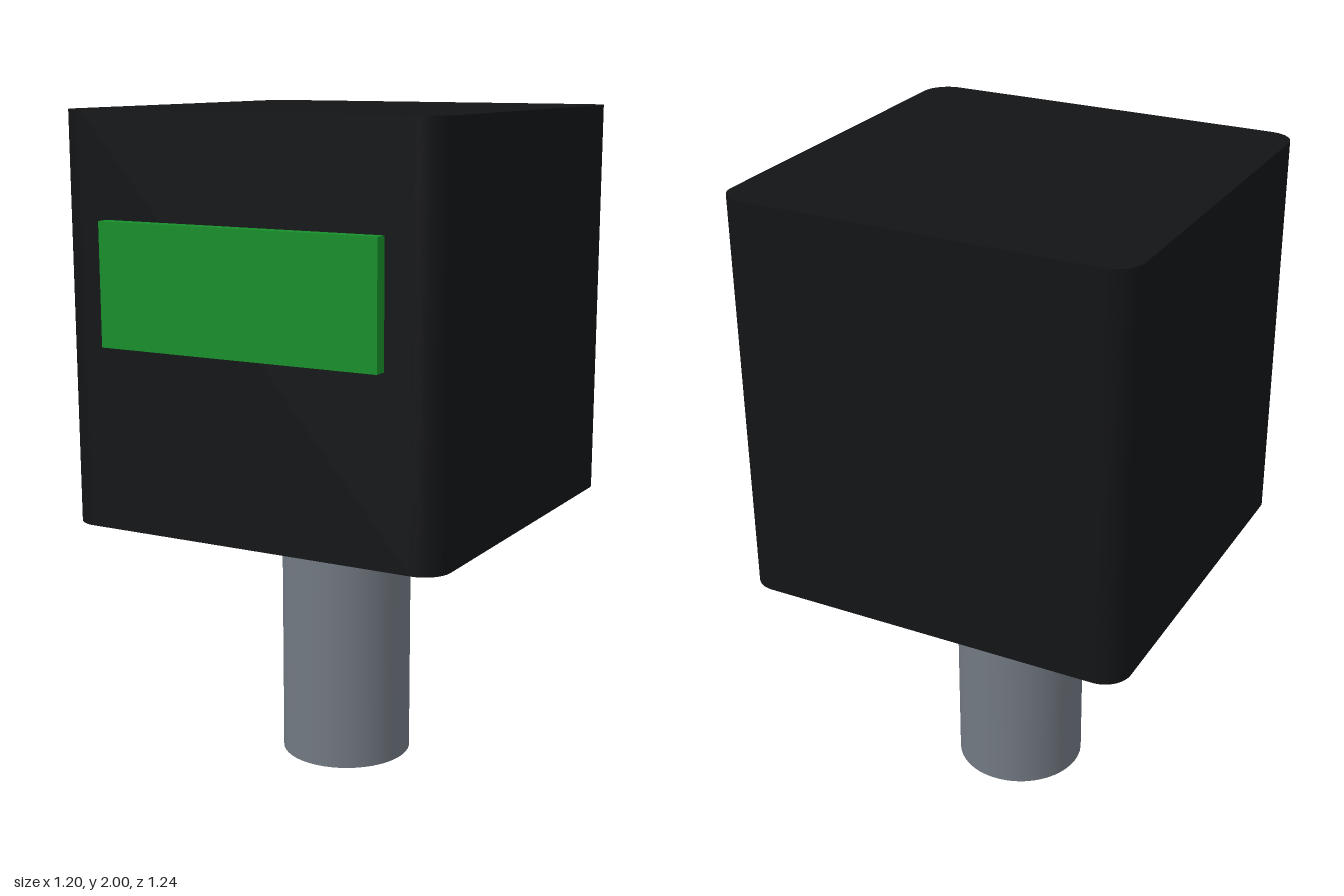
import * as THREE from 'three';

function part(name, geometry, color, x, y, z) {
  const mesh = new THREE.Mesh(geometry, new THREE.MeshStandardMaterial({ color }));
  mesh.name = name;
  mesh.position.set(x, y, z);
  return mesh;
}

// Square outline with rounded corners, centred on the origin
function roundedSquare(half, r) {
  const s = new THREE.Shape();
  const c = half - r;
  s.absarc(c, c, r, 0, Math.PI / 2);
  s.absarc(-c, c, r, Math.PI / 2, Math.PI);
  s.absarc(-c, -c, r, Math.PI, Math.PI * 1.5);
  s.absarc(c, -c, r, Math.PI * 1.5, Math.PI * 2);
  s.closePath();
  return s;
}

export function createModel() {
  const model = new THREE.Group();
  model.name = 'postMountedBox';
  const axisZ = -0.02;

  // Housing: rounded vertical edges, sharp top and bottom rims
  const housing = new THREE.ExtrudeGeometry(roundedSquare(0.6, 0.08), {
    depth: 1.2, bevelEnabled: false, curveSegments: 12,
  });
  housing.rotateX(-Math.PI / 2);

  // Smooth normals around the corners, flat on the sides and caps
  const pos = housing.attributes.position;
  const nor = housing.attributes.normal;
  const core = 0.52;
  for (let i = 0; i < pos.count; i++) {
    if (Math.abs(nor.getY(i)) > 0.5) continue;
    const x = pos.getX(i), z = pos.getZ(i);
    const n = new THREE.Vector3(
      x - THREE.MathUtils.clamp(x, -core, core), 0,
      z - THREE.MathUtils.clamp(z, -core, core)).normalize();
    nor.setXYZ(i, n.x, n.y, n.z);
  }
  model.add(part('housing', housing, 0x131416, 0, 0.8, axisZ));

  // Front display panel, slightly sunk into the housing
  model.add(part('displayPanel', new THREE.BoxGeometry(0.876, 0.356, 0.06), 0x178f2b, 0, 1.52, 0.59));

  // Supporting post
  model.add(part('post', new THREE.CylinderGeometry(0.2, 0.2, 0.8, 48), 0x727982, 0, 0.4, axisZ));

  return model;
}
